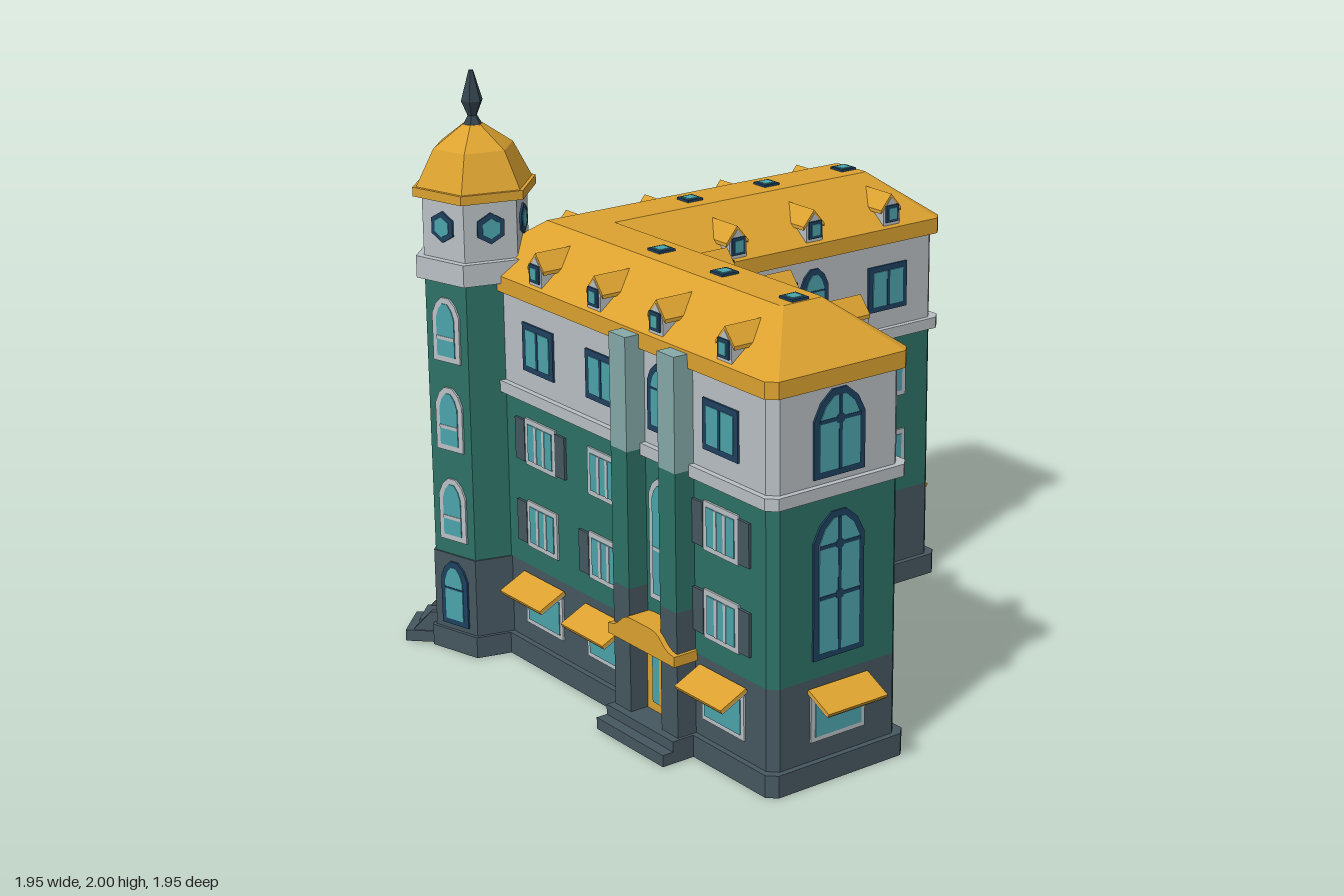
import * as THREE from 'three';

const mat = (name, color) => Object.assign(new THREE.MeshStandardMaterial({ color }), { name });
const M = {
  gold: mat('gold roof', 0xdca230), slate: mat('slate stone', 0x465760), green: mat('green wall', 0x2d7165),
  light: mat('light plaster', 0xb9c0c4), glass: mat('teal glass', 0x4ba3ab), navy: mat('navy frame', 0x1f4160),
  pale: mat('pale teal', 0x86aaa9), dark: mat('dark spire', 0x34434d),
};
const OUT = 0.715, IN = 0.205, END = 0.88, MID = (OUT + IN) / 2;

function add(parent, geo, m, name, x = 0, y = 0, z = 0) {
  const mesh = new THREE.Mesh(geo, m);
  mesh.name = name;
  mesh.position.set(x, y, z);
  parent.add(mesh);
  return mesh;
}
const box = (p, name, m, w, h, d, x, y, z) => add(p, new THREE.BoxGeometry(w, h, d), m, name, x, y, z);
const shapeOf = pts => new THREE.Shape(pts.map(([x, y]) => new THREE.Vector2(x, y)));
const extrude = (pts, depth) => new THREE.ExtrudeGeometry(shapeOf(pts), { depth, bevelEnabled: false });

// L-shaped footprint grown by d, with chamfered end corners (x, -z)
function footprint(d, c = 0.03) {
  const o = OUT + d, i = IN - d, e = END + d;
  return [[-o, -o], [e - c, -o], [e, -o + c], [e, -i - c], [e - c, -i], [-i, -i],
    [-i, e - c], [-i - c, e], [-o + c, e], [-o, e - c]];
}
function layer(p, name, m, d, y0, y1) {
  const g = extrude(footprint(d), y1 - y0).rotateX(-Math.PI / 2);
  add(p, g, m, name, 0, y0, 0);
}

// Hipped roof: slopes between two footprints, closed by a flat top
function hippedRoof(p, d0, y0, d1, y1) {
  const a = footprint(d0), b = footprint(d1, 0.008), pos = [];
  a.forEach((_, i) => {
    const j = (i + 1) % a.length;
    const v = (q, y) => [q[0], y, -q[1]];
    pos.push(...v(a[i], y0), ...v(a[j], y0), ...v(b[j], y1), ...v(a[i], y0), ...v(b[j], y1), ...v(b[i], y1));
  });
  const g = new THREE.BufferGeometry();
  g.setAttribute('position', new THREE.Float32BufferAttribute(pos, 3));
  g.computeVertexNormals();
  add(p, g, M.gold, 'roofSlopes');
  add(p, new THREE.ShapeGeometry(shapeOf(b)).rotateX(-Math.PI / 2), M.gold, 'roofTop', 0, y1, 0);
}

// Rectangle, or faceted arch when a > 0, standing on y = 0
const archPts = (w, h, a) => a
  ? [[-w / 2, 0], [w / 2, 0], [w / 2, h - a], [w * 0.36, h - a * 0.4], [w * 0.14, h],
    [-w * 0.14, h], [-w * 0.36, h - a * 0.4], [-w / 2, h - a]]
  : [[-w / 2, 0], [w / 2, 0], [w / 2, h], [-w / 2, h]];

// Framed window: frame plate, glass plate, mullions at fractions of width and height
function pane(p, name, m, x, y, w, h, { arch = 0, inset = 0.02, cols = 1, rows = [], bar = 0.012 } = {}) {
  const g = new THREE.Group();
  g.name = name;
  g.position.set(x, y, 0);
  p.add(g);
  add(g, extrude(archPts(w, h, arch), 0.007), m, 'frame');
  const gw = w - 2 * inset, gh = h - 2 * inset;
  add(g, extrude(archPts(gw, gh, arch * 0.85), 0.003), M.glass, 'glass', 0, inset, 0.007);
  for (let i = 1; i < cols; i++) box(g, 'mullion', m, bar, gh, 0.005, gw * (i / cols - 0.5), inset + gh / 2, 0.0095);
  for (const r of rows) {
    box(g, 'crossbar', m, gw, bar, 0.005, 0, inset + gh * r, 0.0095);
    if (cols === 2) add(g, new THREE.CylinderGeometry(0.017, 0.017, 0.006, 8).rotateX(Math.PI / 2), m, 'boss', 0, inset + gh * r, 0.0095);
  }
}

// Ground floor shop window under a sloping awning
function shopWindow(p, x) {
  pane(p, 'shopWindow', M.light, x, 0.14, 0.215, 0.15, { inset: 0.016 });
  const awning = new THREE.Group();
  awning.name = 'awning';
  awning.position.set(x, 0.288, 0.05);
  awning.rotation.x = 0.44;
  p.add(awning);
  box(awning, 'awningTop', M.gold, 0.236, 0.012, 0.11, 0, 0.006, 0);
  box(awning, 'awningUnderside', M.light, 0.232, 0.006, 0.106, 0, -0.003, 0);
}

function dormer(p, x) {
  const g = new THREE.Group();
  g.name = 'dormer';
  g.position.set(x, 0, 0);
  p.add(g);
  add(g, extrude([[-0.036, 1.34], [0.036, 1.34], [0.036, 1.408], [0, 1.452], [-0.036, 1.408]], 0.12), M.light, 'dormerBody', 0, 0, -0.11);
  add(g, extrude([[0.046, 1.398], [0.046, 1.41], [0, 1.464], [-0.046, 1.41], [-0.046, 1.398], [0, 1.452]], 0.15), M.gold, 'dormerRoof', 0, 0, -0.142);
  const w = new THREE.Group();
  w.position.z = 0.01;
  g.add(w);
  pane(w, 'dormerWindow', M.navy, 0, 1.365, 0.054, 0.06, { inset: 0.01 });
}

// Two upper windows rows with shutters; sides lists the shutters per row
function windowColumn(p, s, x, upperSides, lowerSides) {
  pane(p, 'topWindow', M.navy, s * x, 1.045, 0.175, 0.165, { cols: 2 });
  [[0.715, upperSides], [0.423, lowerSides]].forEach(([y, sides]) => {
    pane(p, 'window', M.light, s * x, y, 0.175, 0.163, { cols: 3, inset: 0.018, bar: 0.014 });
    for (const k of sides) box(p, 'shutter', M.slate, 0.055, 0.145, 0.009, s * (x + k * 0.116), y + 0.081, 0.0045);
  });
}
function stairBay(p, x) {
  pane(p, 'archedTopWindow', M.navy, x, 1.03, 0.12, 0.222, { arch: 0.06, rows: [0.68], bar: 0.006 });
  pane(p, 'tallWindow', M.light, x, 0.465, 0.12, 0.41, { arch: 0.055, rows: [0.42] });
}

function entrance(p, x) {
  for (const k of [-1, 1]) {
    [[0, 0.5, M.slate], [0.5, 0.96, M.green], [0.96, 1.335, M.pale]].forEach(([a, b, m]) =>
      box(p, 'pilaster', m, 0.086, b - a, 0.072, x + k * 0.126, (a + b) / 2, 0.036));
  }
  pane(p, 'door', M.gold, x, 0.075, 0.16, 0.25, { cols: 2, inset: 0.03, bar: 0.022 });
  // Canopy with a raised centre
  const s = new THREE.Shape();
  s.moveTo(-0.178, 0.325);
  s.lineTo(0.178, 0.325);
  s.lineTo(0.178, 0.36);
  s.bezierCurveTo(0.1, 0.365, 0.12, 0.415, 0.05, 0.415);
  s.lineTo(-0.05, 0.415);
  s.bezierCurveTo(-0.12, 0.415, -0.1, 0.365, -0.178, 0.36);
  add(p, new THREE.ExtrudeGeometry(s, { depth: 0.09, bevelEnabled: false, curveSegments: 6 }), M.gold, 'canopy', x, 0, 0);
  box(p, 'lowerStep', M.slate, 0.36, 0.04, 0.14, x, 0.02, 0.07);
  box(p, 'upperStep', M.slate, 0.36, 0.075, 0.1, x, 0.0375, 0.05);
}

// Group whose local z points out of a wall
function wall(p, name, x, z, angle) {
  const g = new THREE.Group();
  g.name = name;
  g.position.set(x, 0, z);
  g.rotation.y = angle;
  p.add(g);
  return g;
}

function wing(p, mirrored) {
  const Q = Math.PI / 2;
  const outer = mirrored ? wall(p, 'outerFacade', -OUT, 0, -Q) : wall(p, 'outerFacade', 0, OUT, 0);
  const inner = mirrored ? wall(p, 'courtFacade', -IN, 0, Q) : wall(p, 'courtFacade', 0, IN, 2 * Q);
  const end = mirrored ? wall(p, 'endFacade', -MID, -END, 2 * Q) : wall(p, 'endFacade', END, MID, Q);
  const so = mirrored ? -1 : 1, si = -so;

  windowColumn(outer, so, -0.345, [-1, 1], [-1]);
  windowColumn(outer, so, 0.015, [1], [-1, 1]);
  windowColumn(outer, so, 0.635, [-1, 1], [-1, 1]);
  for (const x of [-0.345, 0.015, 0.64]) shopWindow(outer, so * x);
  stairBay(outer, so * 0.324);
  entrance(outer, so * 0.324);

  windowColumn(inner, si, -0.01, [], [1]);
  windowColumn(inner, si, 0.655, [-1], [-1]);
  stairBay(inner, si * 0.325);

  pane(end, 'endTopWindow', M.navy, 0, 1.0, 0.198, 0.275, { arch: 0.09, cols: 2, rows: [0.68] });
  pane(end, 'endTallWindow', M.navy, 0, 0.41, 0.198, 0.475, { arch: 0.09, cols: 2, rows: [0.42, 0.8] });
  shopWindow(end, 0);

  for (const x of [-0.34, -0.01, 0.32, 0.665]) {
    dormer(outer, so * x);
    if (x < -0.1) continue;
    dormer(inner, si * x);
    const [sx, sz] = mirrored ? [-MID, -x] : [x, MID];
    box(p, 'skylightFrame', M.navy, 0.064, 0.009, 0.064, sx, 1.503, sz);
    box(p, 'skylightGlass', M.glass, 0.042, 0.004, 0.042, sx, 1.5085, sz);
  }
}

function tower(p) {
  const t = new THREE.Group();
  t.name = 'tower';
  t.position.set(-0.71, 0, 0.71);
  p.add(t);
  // Stacked hexagonal sections: name, colour, y0, r0, y1, r1
  [['towerPlinth', M.slate, 0, 0.202, 0.075, 0.202], ['towerBase', M.slate, 0.01, 0.188, 0.35, 0.188],
    ['towerShaft', M.green, 0.35, 0.182, 1.33, 0.182], ['towerBand', M.light, 1.32, 0.21, 1.395, 0.21],
    ['towerDrum', M.light, 1.39, 0.182, 1.6, 0.182], ['towerEave', M.gold, 1.597, 0.213, 1.628, 0.213],
    ['towerRoofLower', M.gold, 1.628, 0.2, 1.75, 0.137], ['towerRoofUpper', M.gold, 1.75, 0.137, 1.822, 0.035],
    ['spireFoot', M.dark, 1.815, 0.036, 1.85, 0.016], ['spireBulb', M.dark, 1.85, 0.016, 1.9, 0.037],
    ['spireTip', M.dark, 1.9, 0.037, 2, 0.008],
  ].forEach(([name, m, y0, r0, y1, r1]) => {
    const g = new THREE.CylinderGeometry(r1, r0, y1 - y0, 6, 1, false, -Math.PI / 12).toNonIndexed();
    g.computeVertexNormals();
    add(t, g, m, name, 0, (y0 + y1) / 2, 0);
  });
  for (let k = 0; k < 6; k++) {
    const a = -Math.PI / 4 + k * Math.PI / 3, r = 0.182 * Math.cos(Math.PI / 6);
    const f = wall(t, 'towerFace', Math.sin(a) * r, Math.cos(a) * r, a);
    const hex = (rad, d) => new THREE.CylinderGeometry(rad, rad, d, 6).rotateX(Math.PI / 2);
    add(f, hex(0.053, 0.008), M.navy, 'hexFrame', 0, 1.505, 0.003);
    add(f, hex(0.034, 0.004), M.glass, 'hexGlass', 0, 1.505, 0.008);
    if (k !== 0 && k !== 1 && k !== 5) continue;
    for (const y of [0.403, 0.727, 1.04]) pane(f, 'towerWindow', M.light, 0, y, 0.118, 0.222, { arch: 0.06, rows: [0.35] });
    const ground = new THREE.Group();
    ground.position.z = 0.0055;
    f.add(ground);
    if (k) pane(ground, 'towerBaseWindow', M.navy, 0, 0.095, 0.118, 0.23, { arch: 0.06, rows: [0.6], bar: 0.006 });
    else {
      // Corner door with steps and sloped cheeks
      pane(ground, 'towerDoor', M.gold, 0, 0.075, 0.118, 0.222, { inset: 0.026 });
      box(f, 'towerLowerStep', M.slate, 0.165, 0.04, 0.12, 0, 0.02, 0.06);
      box(f, 'towerUpperStep', M.slate, 0.13, 0.075, 0.075, 0, 0.0375, 0.0375);
      for (const s of [-1, 1]) {
        const g = extrude([[0, 0], [-0.09, 0], [-0.09, 0.045], [-0.03, 0.11], [0, 0.11]], 0.02).rotateY(Math.PI / 2);
        add(f, g, M.slate, 'stepCheek', s * 0.068 - 0.01, 0, 0);
      }
    }
  }
}

export function createModel() {
  const root = new THREE.Group();
  root.name = 'cornerBuilding';
  const b = new THREE.Group();
  b.name = 'building';
  b.position.set(-0.01, 0, -0.01);
  root.add(b);
  layer(b, 'plinth', M.slate, 0.02, 0, 0.075);
  layer(b, 'groundFloor', M.slate, 0, 0.01, 0.35);
  layer(b, 'greenFloors', M.green, 0, 0.35, 0.95);
  layer(b, 'cornice', M.light, 0.02, 0.94, 0.98);
  layer(b, 'topFloor', M.light, 0, 0.97, 1.3);
  layer(b, 'eave', M.gold, 0.02, 1.29, 1.345);
  hippedRoof(b, 0.02, 1.345, -0.175, 1.5);
  wing(b, false);
  wing(b, true);
  tower(b);
  return root;
}
